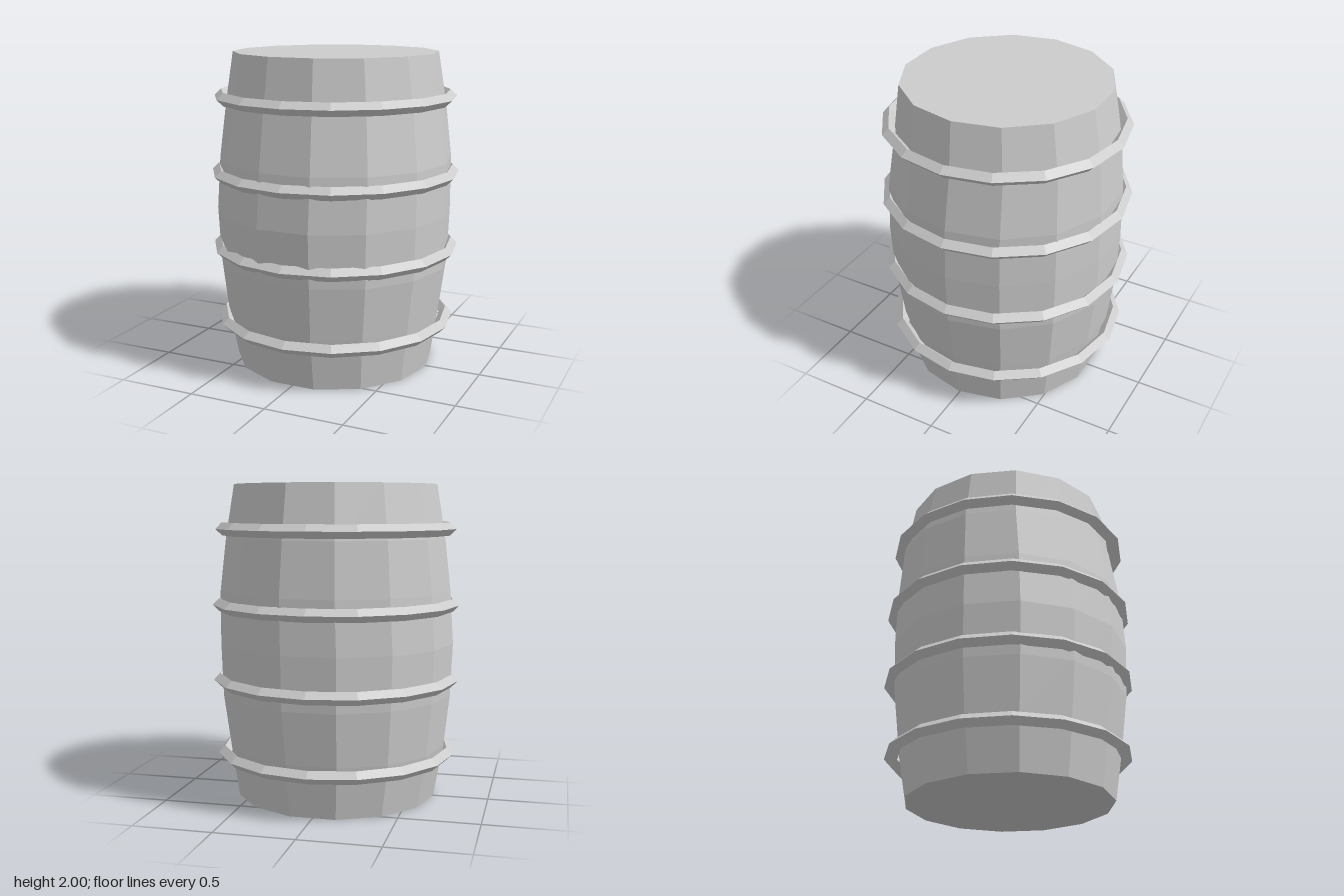
import * as THREE from 'three';

export function createModel() {
  const group = new THREE.Group();
  group.name = 'barrel';
  const grey = new THREE.MeshStandardMaterial({ color: 0xcccccc, flatShading: true });
  grey.name = 'plain grey';

  // Bulging body, rows from top to bottom: [radius, x offset, z offset]
  const rows = [
    [0.648, 0.002, -0.006],
    [0.702, 0, -0.014],
    [0.742, 0.004, 0],
    [0.754, -0.004, 0.009],
    [0.741, -0.003, 0.007],
    [0.7, -0.007, 0.007],
    [0.645, 0, 0.008],
  ];
  const sides = 14;
  const bodyGeo = new THREE.CylinderGeometry(1, 1, 2, sides, rows.length - 1);
  bodyGeo.rotateY(Math.PI / 2); // a corner lies on each end of the x axis
  bodyGeo.translate(0, 1, 0);
  const p = bodyGeo.attributes.position;
  for (let i = 0; i < p.count; i++) {
    const row = Math.round((2 - p.getY(i)) / 2 * (rows.length - 1));
    const [r, dx, dz] = rows[row];
    p.setX(i, p.getX(i) * r + dx);
    p.setZ(i, p.getZ(i) * r + dz);
  }
  bodyGeo.computeVertexNormals();
  const body = new THREE.Mesh(bodyGeo, grey);
  body.name = 'body';
  group.add(body);

  // Four hoops with a diamond cross-section
  const hoops = [[0.283, 0.729], [0.762, 0.753], [1.244, 0.753], [1.722, 0.729]];
  hoops.forEach(([y, radius], i) => {
    const geo = new THREE.TorusGeometry(radius, 0.041, 4, 16);
    geo.rotateX(Math.PI / 2);
    const hoop = new THREE.Mesh(geo, grey);
    hoop.name = `hoop${i + 1}`;
    hoop.position.y = y;
    group.add(hoop);
  });

  return group;
}
